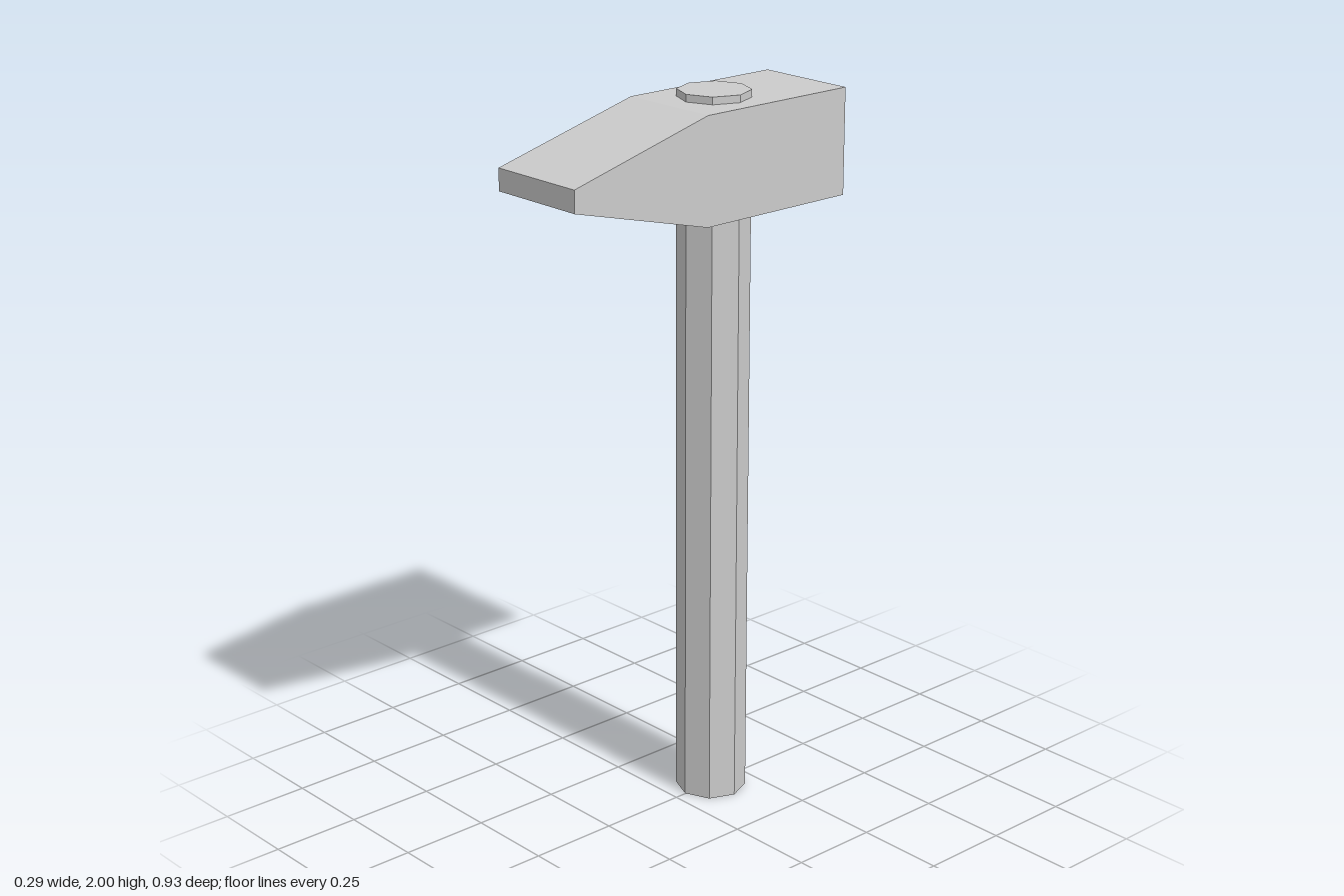
import * as THREE from 'three';

export function createModel() {
  const group = new THREE.Group();
  const material = new THREE.MeshStandardMaterial({ color: 0xcccccc, flatShading: true });

  // Head: side profile (z, y) with a flat striking face at the back and a wedge at the front
  const width = 0.294;
  const profile = new THREE.Shape([
    [-0.464, 1.69], [0.025, 1.69], [0.464, 1.805],
    [0.464, 1.865], [0.025, 1.98], [-0.464, 1.98],
  ].map(([z, y]) => new THREE.Vector2(z, y)));
  const headGeometry = new THREE.ExtrudeGeometry(profile, { depth: width, bevelEnabled: false });
  headGeometry.translate(0, 0, -width / 2).rotateY(-Math.PI / 2);
  const head = new THREE.Mesh(headGeometry, material);
  head.name = 'head';
  group.add(head);

  // Handle: octagonal shaft passing through the head
  const handle = new THREE.Mesh(new THREE.CylinderGeometry(0.098, 0.098, 2, 8), material);
  handle.position.set(-0.002, 1, -0.133);
  handle.name = 'handle';
  group.add(handle);

  return group;
}
